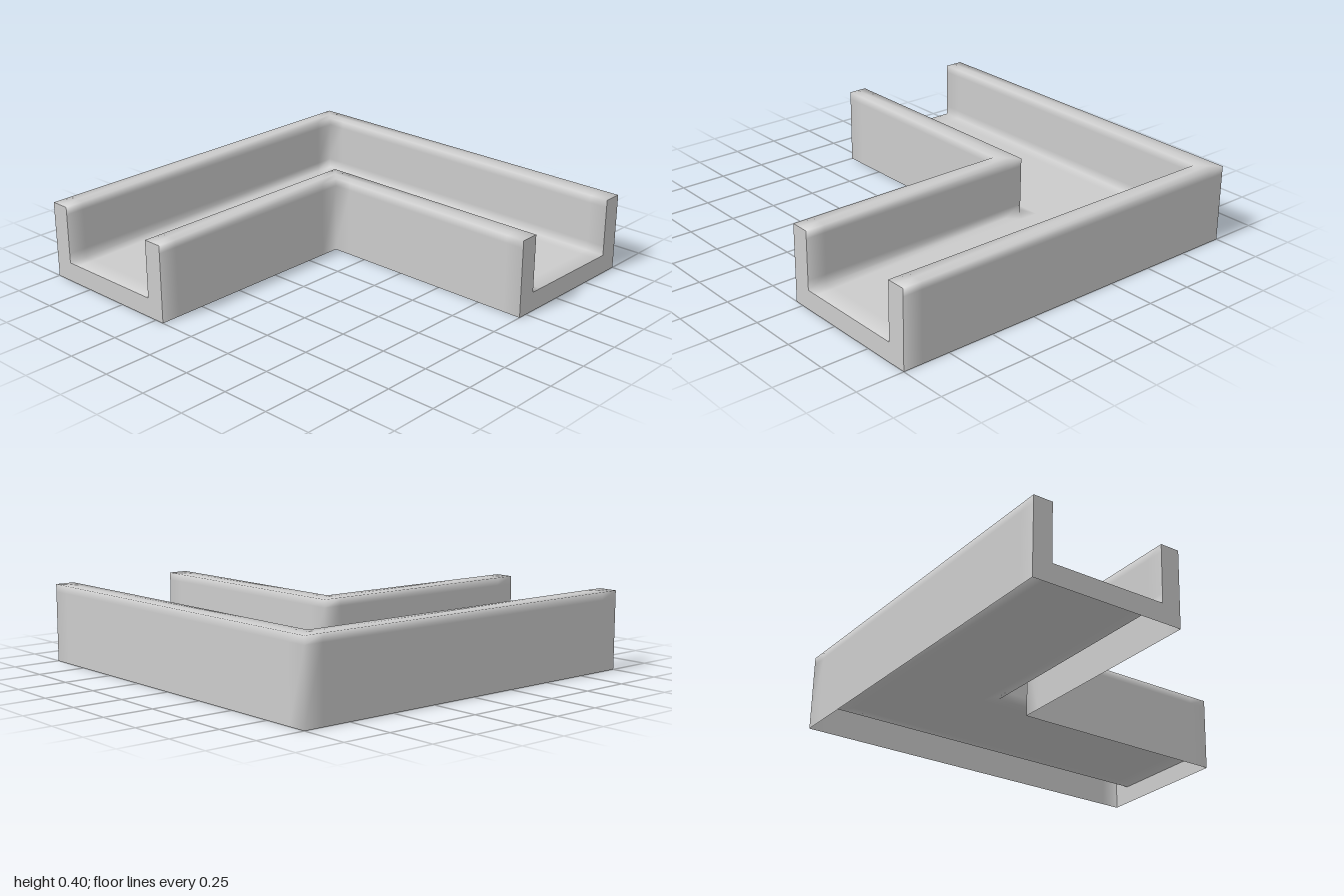
import * as THREE from 'three';

const material = new THREE.MeshStandardMaterial({ color: 0xcccccc, side: THREE.DoubleSide });

// Half of the channel profile (distance from the centreline, height);
// points close to the edges keep the smooth shading tight.
const half = [
  [-0.4, 0], [-0.4, 0.36], [-0.4, 0.4], [-0.35, 0.4], [-0.3, 0.4],
  [-0.3, 0.36], [-0.3, 0.15], [-0.3, 0.1], [-0.24, 0.1],
];
const centre = -0.6;
const profile = [...half, ...half.slice().reverse().map(([u, y]) => [-u, y])]
  .map(([u, y]) => [u + centre, y]);

// Stations along the L: front arm, mitred corner, side arm.
const stations = [
  u => [u, 1], u => [u, 0.9], u => [u, u + 0.1],
  u => [u, u],
  u => [u + 0.1, u], u => [0.9, u], u => [1, u],
];

// Open-bottomed skin: outer walls, rims, inner walls and channel floor.
function channelGeometry() {
  const pos = [], index = [], n = profile.length;
  for (const station of stations) {
    for (const [u, y] of profile) {
      const [x, z] = station(u);
      pos.push(x, y, z);
    }
  }
  for (let i = 0; i < stations.length - 1; i++) {
    for (let j = 0; j < n - 1; j++) {
      const a = i * n + j, b = a + 1, c = a + n, d = c + 1;
      index.push(a, b, c, b, d, c);
    }
  }
  const geo = new THREE.BufferGeometry();
  geo.setAttribute('position', new THREE.Float32BufferAttribute(pos, 3));
  geo.setIndex(index);
  geo.computeVertexNormals();

  // Lean the normals outwards at both open ends for soft-looking edges.
  const normals = geo.attributes.normal, v = new THREE.Vector3();
  const lean = (start, dir) => {
    for (let k = start; k < start + n; k++) {
      v.fromBufferAttribute(normals, k).addScaledVector(dir, 0.7).normalize();
      normals.setXYZ(k, v.x, v.y, v.z);
    }
  };
  lean(0, new THREE.Vector3(0, 0, 1));
  lean((stations.length - 1) * n, new THREE.Vector3(1, 0, 0));
  return geo;
}

// U-shaped end face.
function endGeometry(sign) {
  const corners = [0, 2, 4, 7, 10, 13, 15, 17].map(i => profile[i]);
  return new THREE.ShapeGeometry(
    new THREE.Shape(corners.map(([u, y]) => new THREE.Vector2(sign * u, y))));
}

export function createModel() {
  const group = new THREE.Group();
  group.name = 'cornerChannel';
  const add = (name, geo) => {
    const mesh = new THREE.Mesh(geo, material);
    mesh.name = name;
    group.add(mesh);
  };
  add('channelWallsAndFloor', channelGeometry());
  add('frontEnd', endGeometry(1).translate(0, 0, 1));
  add('leftEnd', endGeometry(-1).rotateY(Math.PI / 2).translate(1, 0, 0));
  return group;
}
